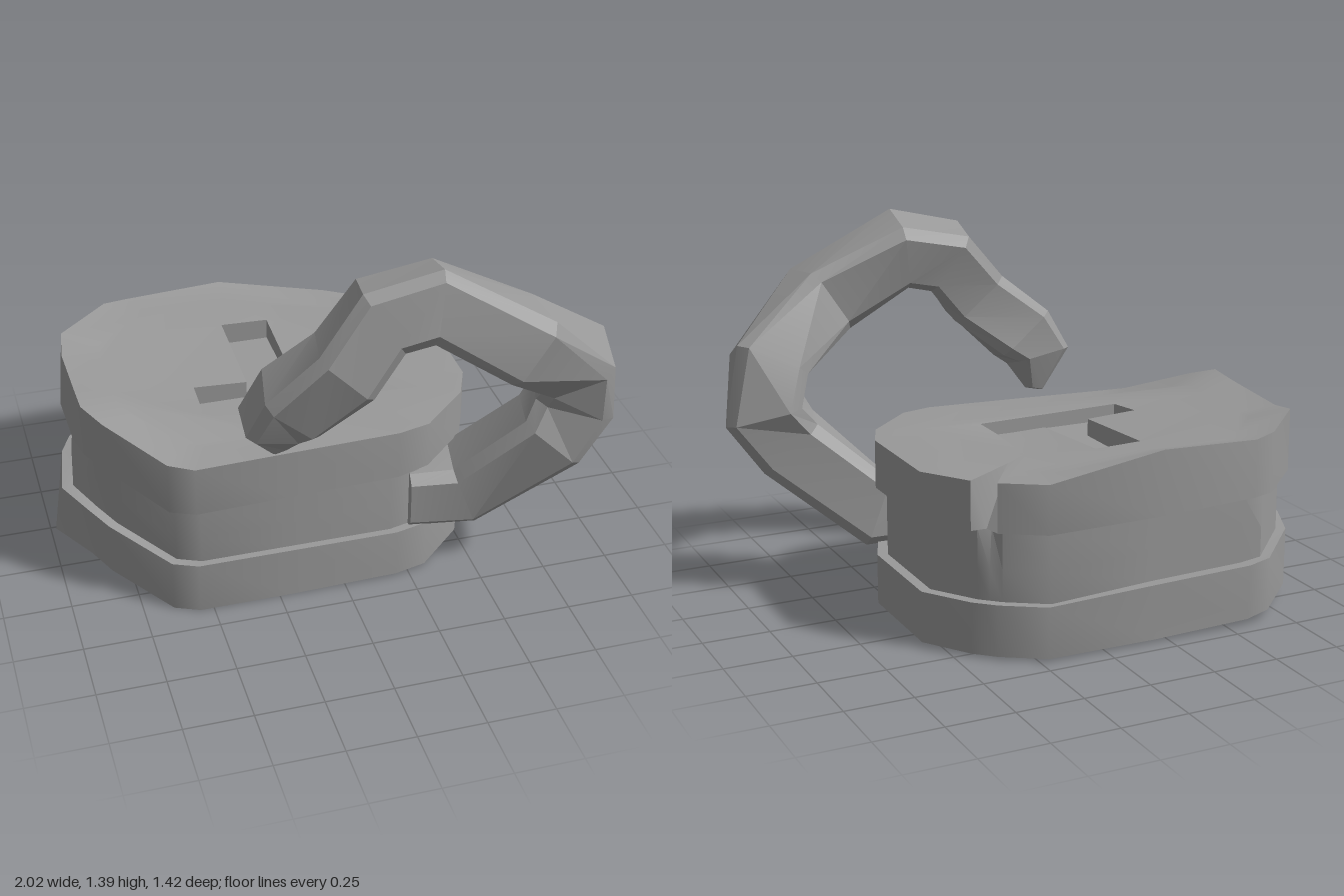
import * as THREE from 'three';
import { toCreasedNormals } from 'three/addons/utils/BufferGeometryUtils.js';

const V = (x, y, z) => new THREE.Vector3(x, y, z);

// Push one triangle; if dir is given, turn it to face that way.
function tri(out, a, b, c, dir) {
  if (dir) {
    const n = b.clone().sub(a).cross(c.clone().sub(a));
    if (n.dot(dir) < 0) [b, c] = [c, b];
  }
  for (const p of [a, b, c]) out.push(p.x, p.y, p.z);
}

// Skin a stack of closed rings.
function skin(out, rings) {
  for (let r = 0; r < rings.length - 1; r++) {
    const lo = rings[r], hi = rings[r + 1];
    for (let i = 0; i < lo.length; i++) {
      const j = (i + 1) % lo.length;
      tri(out, lo[i], hi[i], hi[j]);
      tri(out, lo[i], hi[j], lo[j]);
    }
  }
}

// Close a ring with a fan from its first point.
function fan(out, ring, dir) {
  for (let i = 1; i < ring.length - 1; i++) tri(out, ring[0], ring[i], ring[i + 1], dir);
}

// Fill a ring seen from above, leaving any holes open.
function fill(out, ring, holes, dir) {
  const flat = (list) => list.map((p) => new THREE.Vector2(p.x, p.z));
  const all = [ring, ...holes].flat();
  for (const [a, b, c] of THREE.ShapeUtils.triangulateShape(flat(ring), holes.map(flat)))
    tri(out, all[a], all[b], all[c], dir);
}

function mesh(name, out, material, crease) {
  const geo = new THREE.BufferGeometry();
  geo.setAttribute('position', new THREE.Float32BufferAttribute(out, 3));
  geo.computeVertexNormals();
  const m = new THREE.Mesh(toCreasedNormals(geo, crease), material);
  m.name = name;
  return m;
}

// Case outline: x, z, then heights of base bottom, base top, lid bottom, lid top.
// The first point is the tip of the crack.
const OUTLINE = [
  [0.405, -0.552, 0.01, 0.2, 0.46, 0.64],
  [0.44, -0.52, 0.01, 0.2, 0.46, 0.64],
  [0.555, -0.35, 0.01, 0.2, 0.46, 0.64],
  [0.555, 0.07, 0.01, 0.2, 0.46, 0.64],
  [0.5, 0.2, 0.01, 0.2, 0.46, 0.64],
  [0.32, 0.37, 0.01, 0.2, 0.46, 0.64],
  [0.2, 0.4, 0.01, 0.2, 0.45, 0.64],
  [-0.2, 0.4, 0, 0.2, 0.44, 0.63],
  [-0.55, 0.4, 0, 0.2, 0.43, 0.62],
  [-0.64, 0.36, 0, 0.2, 0.43, 0.63],
  [-0.83, 0.17, 0.07, 0.27, 0.52, 0.715],
  [-0.89, 0.08, 0.1, 0.295, 0.54, 0.745],
  [-1, -0.05, 0.14, 0.32, 0.53, 0.73],
  [-0.92, -0.35, 0.06, 0.28, 0.5, 0.705],
  [-0.87, -0.48, 0.04, 0.26, 0.49, 0.725],
  [-0.67, -0.68, 0.04, 0.24, 0.49, 0.715],
  [-0.58, -0.71, 0.02, 0.23, 0.49, 0.705],
  [-0.2, -0.72, 0.01, 0.22, 0.48, 0.72],
  [0.22, -0.68, 0.01, 0.2, 0.46, 0.64],
  [0.37, -0.585, 0.01, 0.2, 0.46, 0.64],
];

// One ring of the case: height column, inset scale, left and back limits, optional crack tip.
function caseRing(level, scale, minX, minZ, tip) {
  return OUTLINE.map((p, i) => {
    const [x, z] = i === 0 && tip ? tip : p;
    return V(-0.2 + (Math.max(x, minX) + 0.2) * scale, p[2 + level],
      -0.16 + (Math.max(z, minZ) + 0.16) * scale);
  });
}

// Shackle path: x, y, z, section scale, roll.
const PATH = [
  [0.26, 0.31, 0.28, 0.88, 0], [0.48, 0.31, 0.295, 0.95, 0], [0.765, 0.57, 0.42, 1.02, -0.2],
  [0.855, 0.7, 0.415, 1.02, -0.35], [0.825, 0.87, 0.445, 1, -0.3], [0.57, 1.07, 0.575, 1, 0],
  [0.26, 1.245, 0.535, 0.93, 0.25], [0.08, 1.205, 0.515, 0.93, 0.25], [-0.05, 1.04, 0.53, 0.95, 0.15],
  [-0.22, 0.88, 0.46, 0.95, 0], [-0.28, 0.79, 0.43, 0.76, 0], [-0.25, 0.665, 0.4, 0.22, 0],
];

function shackleRings() {
  const pts = PATH.map(([x, y, z]) => V(x, y, z));
  const h = 0.13, k = 0.092; // half width and chamfer start
  const section = [[h, k], [h, -k], [k, -h], [-k, -h], [-h, -k], [-h, k], [-k, h], [k, h]];
  return pts.map((p, i) => {
    const before = p.clone().sub(pts[Math.max(i - 1, 0)]).normalize();
    const after = pts[Math.min(i + 1, pts.length - 1)].clone().sub(p).normalize();
    const t = before.clone().add(after).normalize();
    const n = V(t.y, -t.x, 0).normalize().applyAxisAngle(t, PATH[i][4]);
    const b = t.clone().cross(n);
    const inner = i > 0 && i < pts.length - 1;
    const miter = inner ? 1 / Math.sqrt((1 + before.dot(after)) / 2) : 1;
    const s = PATH[i][3];
    return section.map(([u, v]) =>
      p.clone().addScaledVector(n, u * s * miter).addScaledVector(b, v * s));
  });
}

export function createModel() {
  const group = new THREE.Group();
  const metal = new THREE.MeshStandardMaterial({ color: 0x999999, side: THREE.DoubleSide });
  metal.name = 'grey metal';
  const up = V(0, 1, 0), down = V(0, -1, 0);

  // Recessed core, its crack fading out halfway down
  const coreBottom = caseRing(1, 0.95, -0.96, -0.68);
  const coreTop = caseRing(2, 0.95, -0.9, -0.685, [0.385, -0.525]);
  const crackEnd = caseRing(2, 0.95, -0.9, -0.685).map((p, i) => p.lerp(coreBottom[i], 0.55));
  const core = [];
  skin(core, [coreBottom, crackEnd, coreTop]);
  group.add(mesh('core', core, metal, 0.75));

  // Base plate with a bent-up corner and a ledge around the core
  const base = [];
  const baseBottom = caseRing(0, 1, -1, -0.685);
  skin(base, [baseBottom, caseRing(1, 1, -0.965, -0.695), coreBottom]);
  fan(base, baseBottom, down);
  group.add(mesh('basePlate', base, metal, 0.75));

  // Warped lid, dished towards a T-shaped keyhole, with a crack
  const lid = [];
  const lidTop = caseRing(3, 1, -0.89, -0.72, [0.23, -0.38]);
  const dish = caseRing(3, 0.8, -0.89, -0.72, [0.23, -0.38]);
  for (const p of dish) p.y = 0.65 + (p.y - 0.65) * 0.6;
  const slot = [
    [-0.25, -0.46, 0.675], [-0.07, -0.46, 0.67], [-0.07, -0.06, 0.645], [0.12, -0.06, 0.64],
    [0.12, 0.1, 0.64], [-0.45, 0.1, 0.65], [-0.45, -0.06, 0.665], [-0.25, -0.06, 0.655],
  ];
  const rim = slot.map(([x, z, y]) => V(x, y, z));
  const floor = slot.map(([x, z]) => V(x, 0.59, z));
  skin(lid, [coreTop, caseRing(2, 1, -0.91, -0.72, [0.38, -0.52]), lidTop, dish]);
  fill(lid, dish, [rim], up);
  group.add(mesh('lid', lid, metal, 0.75));

  const keyhole = [];
  skin(keyhole, [rim, floor]);
  fill(keyhole, floor, [], up);
  group.add(mesh('keyhole', keyhole, metal, 0.3));

  // Twisted, torn-off shackle
  const shackle = [];
  const rings = shackleRings();
  skin(shackle, rings);
  fan(shackle, rings[0], V(-1, 0, 0));
  fan(shackle, rings[rings.length - 1], down);
  group.add(mesh('shackle', shackle, metal, 0.25));

  return group;
}
